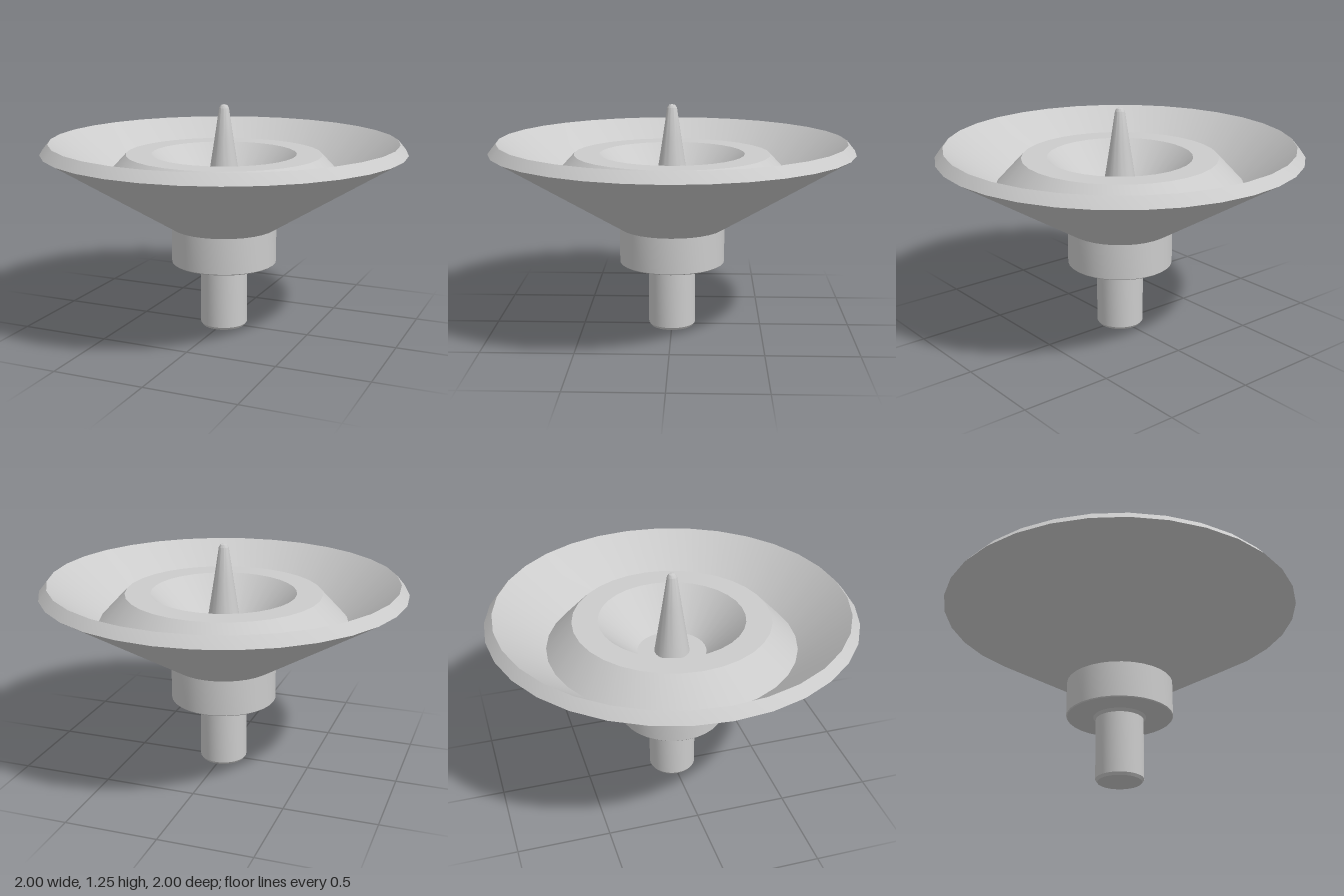
import * as THREE from 'three';
import { toCreasedNormals } from 'three/addons/utils/BufferGeometryUtils.js';

const SIDES = 32;
const material = new THREE.MeshStandardMaterial({ color: 0xcccccc });

// Turned part from [radius, height] pairs, listed so the surface faces outward
function turned(name, profile) {
  const points = profile.map(([r, y]) => new THREE.Vector2(r, y));
  const geometry = toCreasedNormals(new THREE.LatheGeometry(points, SIDES), 0.4);
  const mesh = new THREE.Mesh(geometry, material);
  mesh.name = name;
  return mesh;
}

export function createModel() {
  const group = new THREE.Group();
  group.name = 'spikedDish';

  group.add(
    // Stem with a slightly chamfered foot and a small flare under the collar
    turned('stem', [[0, 0], [0.12, 0], [0.131, 0.015], [0.131, 0.355], [0.145, 0.37]]),

    // Wide collar between stem and dish
    turned('collar', [[0, 0.37], [0.288, 0.37], [0.293, 0.375], [0.293, 0.573]]),

    // Flared dish: outer cone, bevelled rim, gutter, raised ring and central bowl
    turned('dish', [
      [0.293, 0.573], [1, 1.005], [0.955, 1.06],
      [0.685, 0.83], [0.54, 0.985], [0.4, 0.985],
      [0.19, 0.78], [0, 0.78],
    ]),

    // Tapered centre spike with a rounded tip
    turned('spike', [[0.097, 0.78], [0.053, 1.06], [0.027, 1.235], [0.018, 1.25], [0, 1.255]]),
  );
  return group;
}
